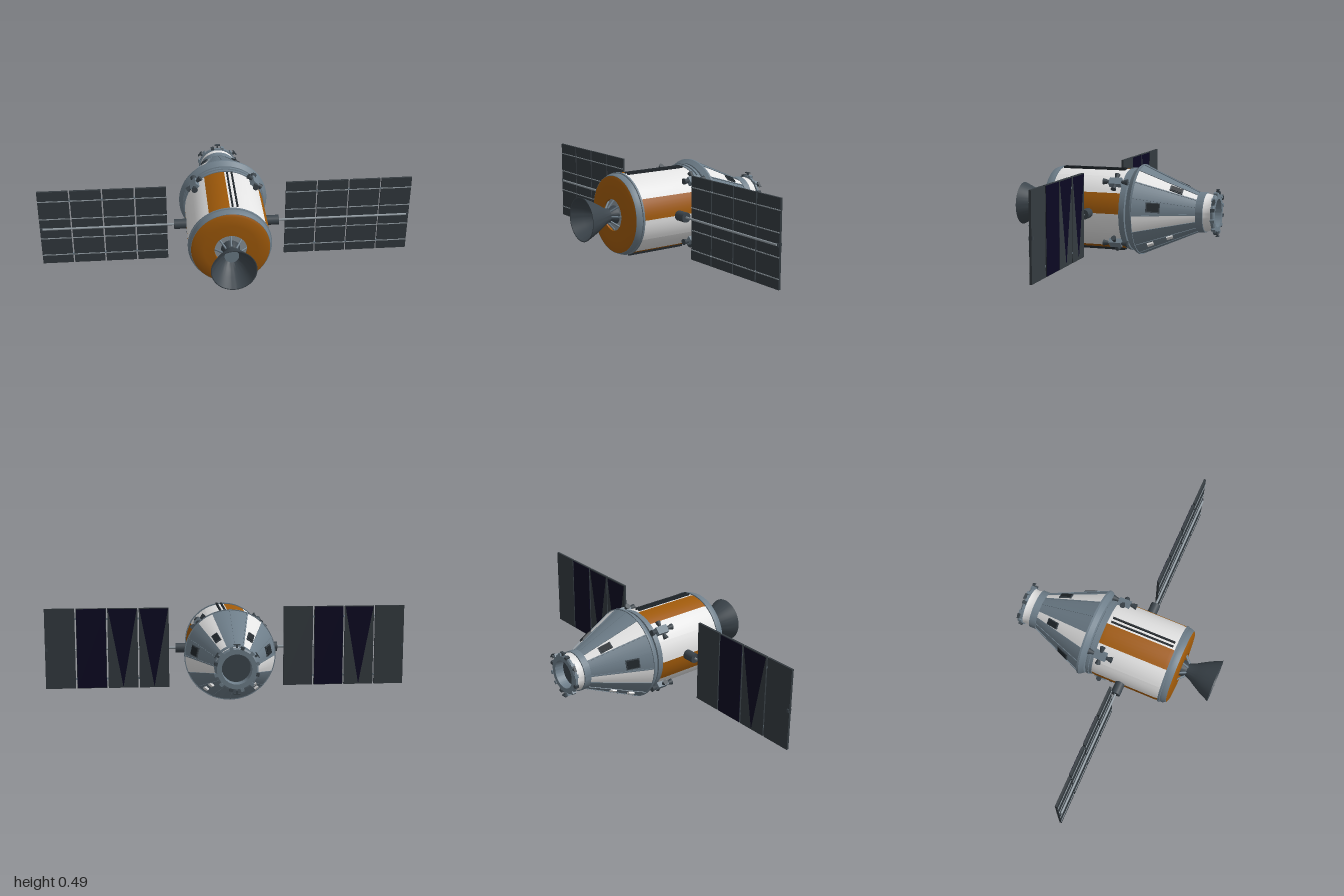
import * as THREE from 'three';
import { toCreasedNormals } from 'three/addons/utils/BufferGeometryUtils.js';

const mat = (name, color, side = THREE.FrontSide) => {
  const m = new THREE.MeshStandardMaterial({ color, side });
  m.name = name;
  return m;
};

export function createModel() {
  const white = mat('white blanket', 0xe4e4e4);
  const orange = mat('orange blanket', 0xa05a0a);
  const steel = mat('blue grey metal', 0x6f7f8b);
  const dark = mat('dark metal', 0x3c454c);
  const black = mat('black glass', 0x20262b);
  const panelGrey = mat('panel grey', 0x343b40);
  const navy = mat('navy cells', 0x0b0822, THREE.DoubleSide);
  const pale = mat('pale rail', 0x8d979e);

  const root = new THREE.Group();
  root.name = 'spacecraft';
  const ship = new THREE.Group();
  ship.name = 'ship';
  ship.position.y = 0.247;
  root.add(ship);

  const D = Math.PI / 180;
  const add = (name, geo, material, parent = ship, x = 0, y = 0, z = 0) => {
    const m = new THREE.Mesh(geo, material);
    m.name = name;
    m.position.set(x, y, z);
    parent.add(m);
    return m;
  };
  // Surface turned about z from [radius, z] points; angles run from +x towards +y
  const turned = (name, pts, material, from = 0, sweep = 360) => {
    const g = new THREE.LatheGeometry(pts.map(p => new THREE.Vector2(p[0], p[1])),
      Math.max(4, Math.round(sweep / 5)), (from + 90) * D, sweep * D);
    g.rotateX(Math.PI / 2);
    return add(name, toCreasedNormals(g, 0.5), material);
  };
  // Holder on the hull whose local x points outward
  const mount = (name, deg, r, z, tilt = 0) => {
    const g = new THREE.Group();
    g.name = name;
    g.position.set(r * Math.cos(deg * D), r * Math.sin(deg * D), z);
    g.rotation.set(0, tilt, deg * D, 'ZYX');
    ship.add(g);
    return g;
  };
  const box = (x, y, z) => new THREE.BoxGeometry(x, y, z);
  const rod = (name, a, b, r, material, r2 = r, parent = ship) => {
    const p = new THREE.Vector3(...a), q = new THREE.Vector3(...b);
    const m = add(name, new THREE.CylinderGeometry(r2, r, p.distanceTo(q), 16), material, parent);
    m.position.copy(p).add(q).multiplyScalar(0.5);
    m.quaternion.setFromUnitVectors(new THREE.Vector3(0, 1, 0), q.sub(p).normalize());
    return m;
  };

  // Service module: twelve blanket panels
  for (let i = 0; i < 12; i++) {
    turned('blanketPanel', [[0.214, -0.075], [0.217, -0.05], [0.217, 0.30], [0.214, 0.322]],
      i % 3 === 0 ? orange : white, i * 30, 30);
  }
  turned('rearBand', [[0.205, 0.318], [0.221, 0.318], [0.221, 0.328], [0.216, 0.33],
    [0.216, 0.345], [0.208, 0.363], [0.2, 0.363]], steel);
  turned('engineBulkhead', [[0.208, 0.355], [0.206, 0.363], [0.195, 0.369], [0.14, 0.374],
    [0.085, 0.376], [0.085, 0.36]], orange);
  turned('engineWell', [[0.09, 0.362], [0, 0.362]], pale);
  turned('frontBand', [[0.21, -0.145], [0.213, -0.105], [0.225, -0.102], [0.225, -0.088],
    [0.219, -0.086], [0.219, -0.07], [0.21, -0.07]], steel);

  // Dark cable rails on top and bottom
  for (const s of [-1, 1]) for (const x of [0.015, 0.04]) {
    add('cableRail', box(0.009, 0.012, 0.355), black, ship, x, s * 0.219, 0.127);
  }

  // Engine bell and its struts
  turned('engineBell', [[0.05, 0.36], [0.044, 0.385], [0.036, 0.405], [0.046, 0.432], [0.066, 0.465],
    [0.09, 0.507], [0.118, 0.567], [0.113, 0.567], [0.085, 0.507], [0.061, 0.465], [0.037, 0.435]], dark);
  turned('engineThroat', [[0.038, 0.436], [0, 0.436]], steel);
  for (let i = 0; i < 8; i++) {
    const c = Math.cos(i * 45 * D), s = Math.sin(i * 45 * D);
    rod('engineStrut', [c * 0.083, s * 0.083, 0.364], [c * 0.038, s * 0.038, 0.405], 0.005, steel);
  }

  // Capsule: skirt and sixteen conical panels
  turned('capsuleSkirt', [[0.236, -0.148], [0.245, -0.148], [0.245, -0.138], [0.226, -0.112], [0.21, -0.108]], steel);
  const whiteSectors = [2, 5, 8, 15];
  const slope = Math.atan2(0.137, 0.313);
  for (let i = 0; i < 16; i++) {
    turned('capsulePanel', [[0.104, -0.458], [0.241, -0.145]],
      whiteSectors.includes(i) ? white : steel, i * 22.5, 22.5);
    add('capsuleRib', box(0.006, 0.006, 0.34), steel, mount('ribMount', i * 22.5, 0.1735, -0.30, slope));
  }
  const coneR = z => 0.104 + (z + 0.458) * 0.137 / 0.313;
  for (const [deg, z, w, l] of [[12, -0.25, 0.052, 0.075], [55, -0.35, 0.036, 0.072]]) {
    for (const a of [deg, 180 - deg]) {
      const m = mount('window', a, coneR(z), z, slope);
      add('windowFrame', box(0.012, w, l), dark, m);
      add('windowGlass', box(0.004, w * 0.8, l * 0.85), black, m, 0.007);
    }
  }
  for (const [deg, z] of [[-51, -0.22], [-48, -0.32]]) for (const a of [deg, 180 - deg]) {
    add('sensorBlock', box(0.02, 0.022, 0.035), white, mount('sensorMount', a, coneR(z), z, slope));
  }

  // Docking collar, hollow at the end
  turned('upperCollar', [[0.1, -0.497], [0.108, -0.495], [0.108, -0.457], [0.1, -0.455]], steel);
  turned('whiteCollar', [[0.1, -0.54], [0.097, -0.518], [0.103, -0.495]], white);
  turned('dockingRing', [[0.072, -0.50], [0.076, -0.558], [0.1, -0.558], [0.108, -0.552], [0.108, -0.54], [0.098, -0.537]], steel);
  turned('dockingHatch', [[0, -0.51], [0.074, -0.51]], dark);
  for (let i = 0; i < 12; i++) {
    const m = mount('latch', i * 30 + 15, 0.108, -0.55);
    add('latchBlock', box(0.016, 0.018, 0.022), i % 3 ? steel : dark, m);
  }
  for (const a of [35, 90, 145, 270]) {
    const m = mount('dockingAid', a, 0.117, -0.555);
    add('aidArm', box(0.016, 0.01, 0.01), dark, m);
    add('aidPlate', box(0.005, 0.032, 0.014), dark, m, 0.008);
  }

  // Four thruster clusters
  for (const a of [45, 135, 225, 315]) {
    const m = mount('thrusterCluster', a, 0.228, -0.037);
    add('thrusterBlock', box(0.034, 0.042, 0.068), steel, m);
    for (const s of [-1, 1]) {
      rod('axialThruster', [0.006, 0, s * 0.03], [0.006, 0, s * 0.068], 0.007, dark, 0.017, m);
      rod('sideThruster', [0.006, s * 0.018, 0], [0.006, s * 0.05, 0], 0.007, dark, 0.015, m);
    }
  }

  // Solar wings
  const H = 0.445, W = 0.164, Y = 0.004, Z = 0.09;
  // Cell pattern on the back, from the inner panel outward
  const cells = { '1': ['wedge', 'wedge', 'full', ''], '-1': ['', 'full', 'wedge', ''] };
  for (const s of [1, -1]) {
    const wing = new THREE.Group();
    wing.name = s > 0 ? 'leftSolarWing' : 'rightSolarWing';
    ship.add(wing);
    rod('wingHub', [s * 0.21, 0, 0.1], [s * 0.283, 0, 0.1], 0.027, dark, 0.027, wing);
    rod('wingBoom', [s * 0.28, 0, 0.1], [s * 0.985, 0, 0.1], 0.006, pale, 0.006, wing);
    add('boomTip', box(0.012, 0.018, 0.02), dark, wing, s * 0.992, 0, Z);
    for (let i = 0; i < 4; i++) {
      const x = s * (0.32 + W / 2 + i * 0.172);
      add('solarPanel', box(W, H, 0.012), panelGrey, wing, x, Y, Z);
      for (const y of [-0.165, -0.06, 0.06, 0.168]) {
        add('panelRail', box(W, 0.005, 0.004), pale, wing, x, y, Z + 0.007);
      }
      if (i < 3) for (const y of [-0.165, 0.168]) {
        add('panelHinge', box(0.014, 0.01, 0.008), steel, wing, x + s * 0.086, y, Z);
      }
      const kind = cells[s][i];
      if (kind === 'full') add('cellSheet', box(W - 0.004, H - 0.006, 0.002), navy, wing, x, Y, Z - 0.0072);
      if (kind === 'wedge') {
        const w = W / 2 - 0.003, h = H / 2 - 0.004;
        const tri = new THREE.Shape([new THREE.Vector2(-w, h), new THREE.Vector2(0, -h), new THREE.Vector2(w, h)]);
        add('cellWedge', new THREE.ShapeGeometry(tri), navy, wing, x, Y, Z - 0.008);
      }
    }
  }
  return root;
}
